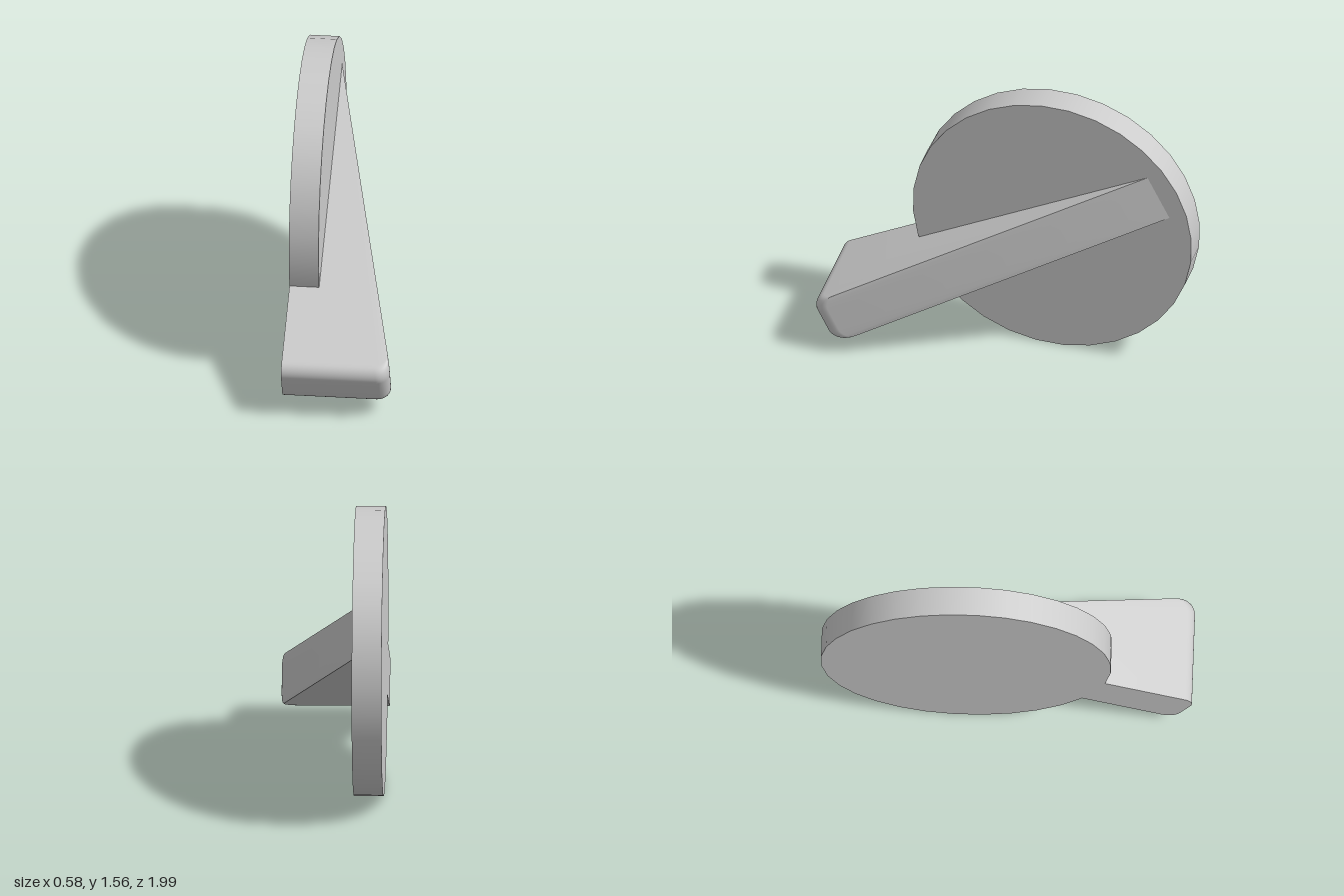
import * as THREE from 'three';
import { toCreasedNormals } from 'three/addons/utils/BufferGeometryUtils.js';

const BASE = -0.29, FACE = -0.13;   // outer and inner side of the disc
const RADIUS = 0.78;
const HALF = 0.135, FILLET = 0.07;  // lever half width, rounding of its free end
const TIP = 1.32, ROOT = -0.667, RISE = 0.22;

// Outline of the wedge in (z, x), its rounded end pulled back by inset
function outline(inset) {
  const slope = Math.atan(RISE);
  const zc = TIP - FILLET - inset;
  const xc = FACE + (zc - ROOT) * RISE - FILLET / Math.cos(slope);
  const pts = [[ROOT, FACE - 0.01], [0.65, FACE - 0.01], [0.65, BASE], [TIP - inset, BASE]];
  for (let i = 0; i <= 8; i++) {
    const a = (i / 8) * (Math.PI / 2 + slope);
    pts.push([zc + FILLET * Math.cos(a), xc + FILLET * Math.sin(a)]);
  }
  pts.push([ROOT, FACE]);
  return pts;
}

// Stack outlines across the width, insetting the end near both sides
function wedgeGeometry() {
  const layers = [];
  for (const side of [-1, 1]) {
    for (let i = 0; i <= 8; i++) {
      const a = (side < 0 ? 1 - i / 8 : i / 8) * Math.PI / 2;
      layers.push({
        y: side * (HALF - FILLET + FILLET * Math.sin(a)),
        pts: outline(FILLET * (1 - Math.cos(a))),
      });
    }
  }
  const n = layers[0].pts.length;
  const positions = [], index = [];
  for (const { y, pts } of layers) for (const [z, x] of pts) positions.push(x, y, z);
  for (let l = 0; l < layers.length - 1; l++) {
    for (let i = 0; i < n; i++) {
      const a = l * n + i, b = l * n + (i + 1) % n;
      index.push(a, b, b + n, a, b + n, a + n);
    }
  }
  // Flat sides
  const cap = THREE.ShapeUtils.triangulateShape(layers[0].pts.map(p => new THREE.Vector2(...p)), []);
  const last = (layers.length - 1) * n;
  for (const [a, b, c] of cap) index.push(a, c, b, last + a, last + b, last + c);

  const geo = new THREE.BufferGeometry();
  geo.setAttribute('position', new THREE.Float32BufferAttribute(positions, 3));
  geo.setIndex(index);
  return toCreasedNormals(geo, 0.5);
}

export function createModel() {
  const group = new THREE.Group();
  group.name = 'leverKnob';
  const material = new THREE.MeshStandardMaterial({ color: 0xcccccc });

  // Round base plate
  const discGeo = new THREE.CylinderGeometry(RADIUS, RADIUS, FACE - BASE, 32);
  discGeo.rotateZ(Math.PI / 2).translate((FACE + BASE) / 2, 0, 0);
  const disc = new THREE.Mesh(discGeo, material);
  disc.name = 'disc';

  // Tapered lever growing out of the disc
  const lever = new THREE.Mesh(wedgeGeometry(), material);
  lever.name = 'lever';

  // Tilt both so the lever points forward and down
  const tilted = new THREE.Group();
  tilted.name = 'tiltedKnob';
  tilted.add(disc, lever);
  tilted.rotation.x = 0.471;
  tilted.position.set(0, 0.78, -0.22);
  group.add(tilted);
  return group;
}
